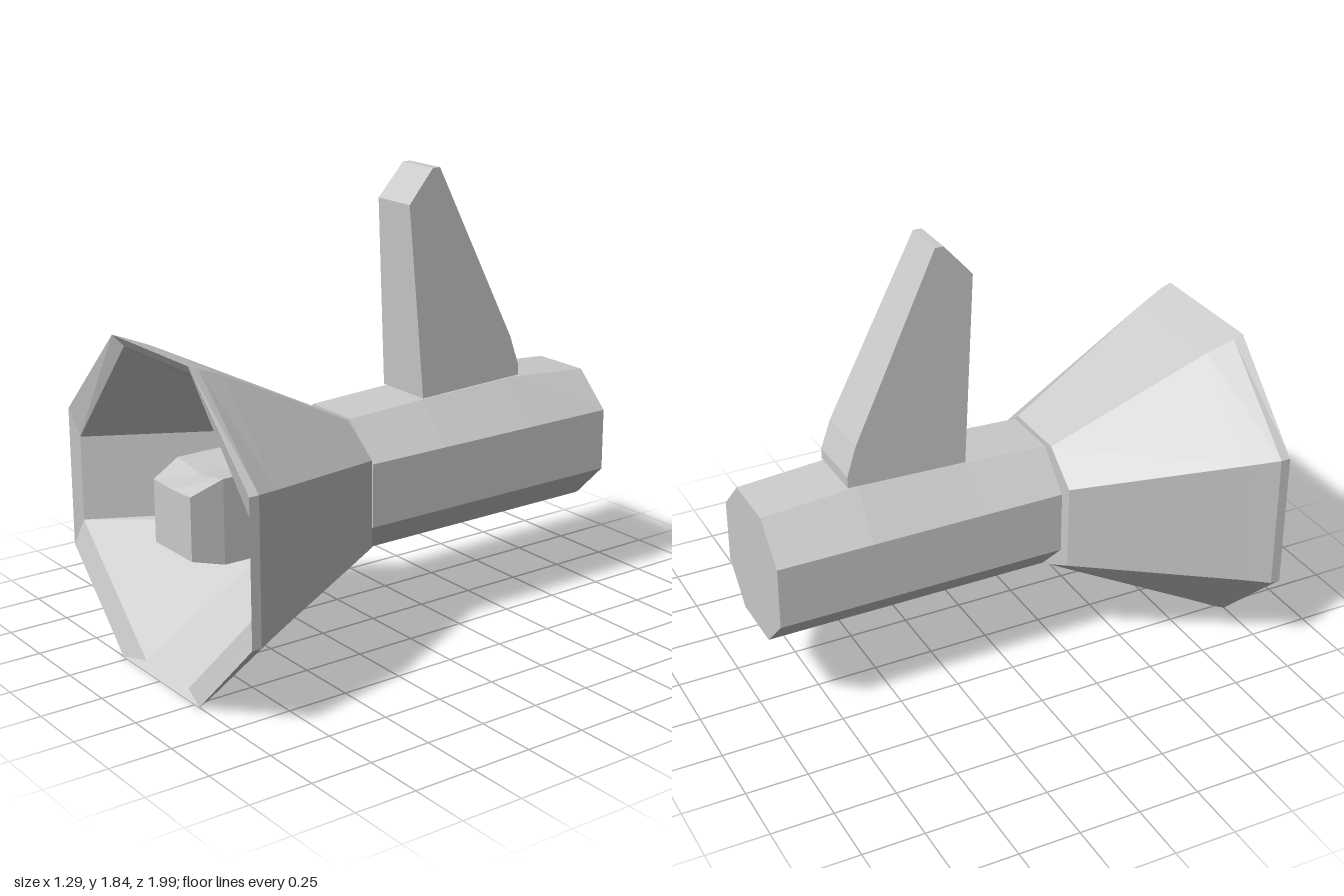
import * as THREE from 'three';

const material = new THREE.MeshStandardMaterial({ color: 0xcccccc, flatShading: true });

// Octagonal ring, counter-clockwise seen from +z
function octagon(z, topHalf, topY, sideX, upperY, lowerY, bottomHalf, bottomY) {
  return [
    [sideX, lowerY], [sideX, upperY], [topHalf, topY], [-topHalf, topY],
    [-sideX, upperY], [-sideX, lowerY], [-bottomHalf, bottomY], [bottomHalf, bottomY],
  ].map(([x, y]) => [x, y, z]);
}

// Skin a list of rings and close both ends with fans
function loft(name, rings) {
  const pos = [];
  const n = rings[0].length;
  const tri = (...pts) => pts.forEach((p) => pos.push(...p));
  const centre = (ring) => [0, 1, 2].map((k) => ring.reduce((s, p) => s + p[k], 0) / n);
  for (let r = 0; r < rings.length - 1; r++) {
    const a = rings[r], b = rings[r + 1];
    for (let i = 0; i < n; i++) {
      const j = (i + 1) % n;
      tri(a[i], a[j], b[j]);
      tri(a[i], b[j], b[i]);
    }
  }
  const first = rings[0], last = rings[rings.length - 1];
  for (let i = 0; i < n; i++) {
    const j = (i + 1) % n;
    tri(centre(first), first[j], first[i]);
    tri(centre(last), last[i], last[j]);
  }
  const geo = new THREE.BufferGeometry();
  geo.setAttribute('position', new THREE.Float32BufferAttribute(pos, 3));
  geo.computeVertexNormals();
  const mesh = new THREE.Mesh(geo, material);
  mesh.name = name;
  return mesh;
}

// Barrel, rising slightly under the fin
function barrel() {
  const stations = [[-0.99, 0.92], [-0.6, 0.95], [-0.15, 0.935], [0.2, 0.92]];
  return loft('barrel', stations.map(([z, top]) =>
    octagon(z, 0.125, top, 0.27, 0.775, 0.52, 0.125, 0.375)));
}

// Hollow flared horn: outside, rim, then back down the inside
function horn() {
  return loft('horn', [
    octagon(0.22, 0.14, 0.92, 0.29, 0.8, 0.45, 0.14, 0.37),
    octagon(0.85, 0.25, 1.235, 0.59, 0.9, 0.37, 0.255, 0.07),
    octagon(0.96, 0.27, 1.28, 0.645, 0.92, 0.355, 0.28, 0.018),
    octagon(1.0, 0.27, 1.295, 0.645, 0.92, 0.355, 0.28, 0),
    octagon(0.97, 0.235, 1.255, 0.615, 0.805, 0.46, 0.155, 0.02),
    octagon(0.25, 0.2, 0.82, 0.24, 0.8, 0.46, 0.155, 0.44),
  ]);
}

// Square rod inside the horn with a shallow valley along its top
function rod() {
  const section = (z, left, right, bottom, top, valley) =>
    [[left, bottom], [right, bottom], [right, top], [0, valley], [left, top]].map(([x, y]) => [x, y, z]);
  return loft('innerRod', [
    section(0.18, -0.16, 0.16, 0.47, 0.815, 0.79),
    section(0.8, -0.16, 0.16, 0.475, 0.81, 0.785),
    section(0.93, -0.12, 0.14, 0.51, 0.76, 0.755),
  ]);
}

// Upright fin: side profile extruded across x, narrowing upwards
function fin() {
  const profile = [[-0.15, 0.94], [-0.1, 1.71], [-0.215, 1.84], [-0.25, 1.84], [-0.6, 1.12], [-0.64, 1.0], [-0.64, 0.955]];
  const shape = new THREE.Shape(profile.map(([z, y]) => new THREE.Vector2(-z, y)));
  const geo = new THREE.ExtrudeGeometry(shape, { depth: 2, bevelEnabled: false });
  geo.translate(0, 0, -1).rotateY(Math.PI / 2);
  const p = geo.attributes.position;
  for (let i = 0; i < p.count; i++) {
    const t = (p.getY(i) - 0.94) / 0.9;
    p.setX(i, p.getX(i) * (0.128 - 0.034 * t));
  }
  geo.computeVertexNormals();
  const mesh = new THREE.Mesh(geo, material);
  mesh.name = 'fin';
  return mesh;
}

export function createModel() {
  const group = new THREE.Group();
  group.name = 'hornWithFin';
  group.add(barrel(), horn(), rod(), fin());
  return group;
}
